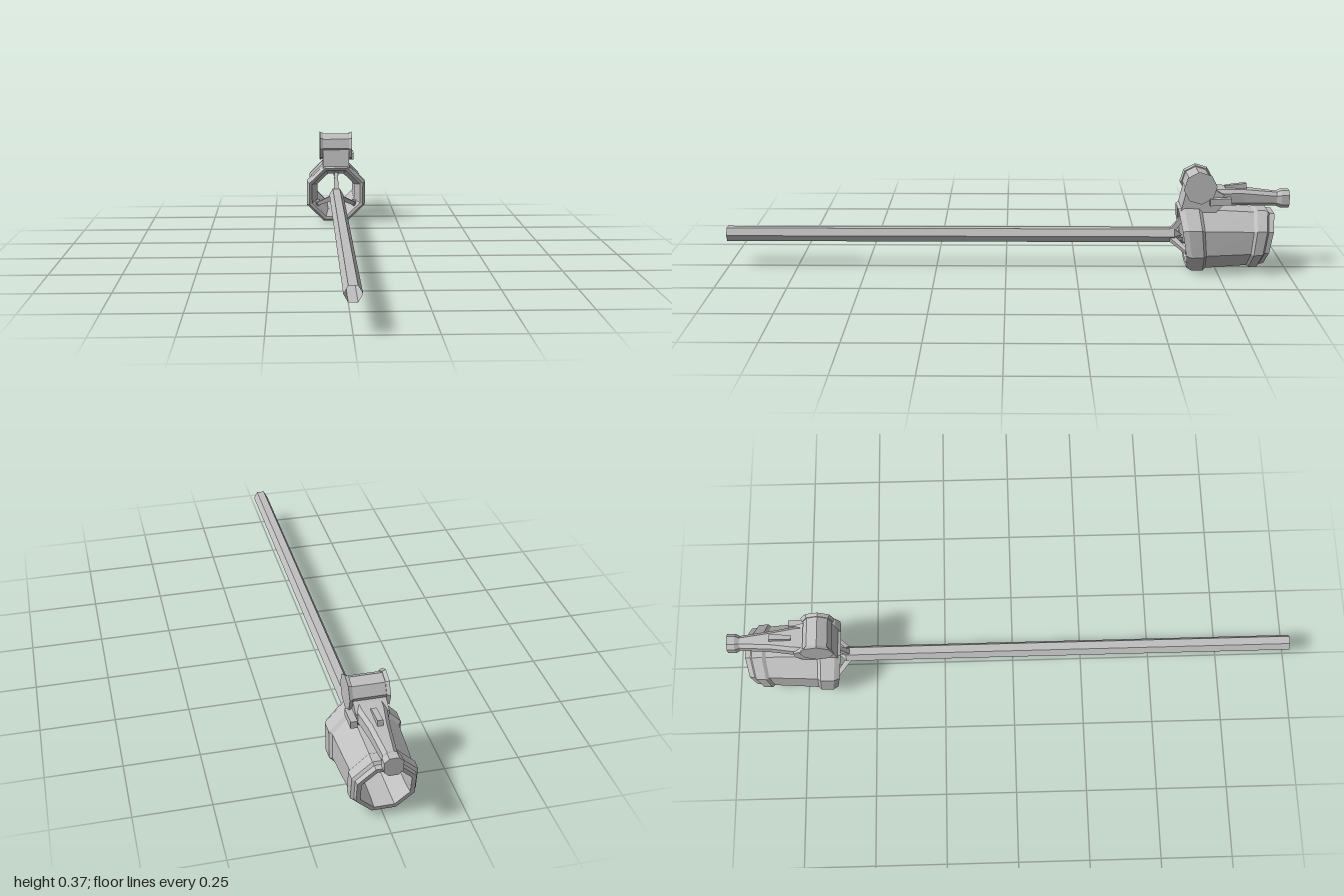
import * as THREE from 'three';

const AXIS_Y = 0.122;

// Loft through chamfered rectangular sections [z, halfWidth, yBottom, yTop, chamfer]
function loft(sections) {
  const pos = [], idx = [], n = 8;
  for (const [z, w, y0, y1, c] of sections) {
    const ring = [[w, y0 + c], [w, y1 - c], [w - c, y1], [c - w, y1], [-w, y1 - c], [-w, y0 + c], [c - w, y0], [w - c, y0]];
    for (const [x, y] of ring) pos.push(x, y, z);
  }
  for (let s = 0; s < sections.length - 1; s++) {
    for (let i = 0; i < n; i++) {
      const a = s * n + i, b = s * n + (i + 1) % n;
      idx.push(a, b, a + n, b, b + n, a + n);
    }
  }
  const last = (sections.length - 1) * n;
  for (let i = 1; i < n - 1; i++) {
    idx.push(0, i + 1, i);
    idx.push(last, last + i, last + i + 1);
  }
  // sections run from front to back, so the winding is reversed to face outward
  for (let i = 0; i < idx.length; i += 3) [idx[i + 1], idx[i + 2]] = [idx[i + 2], idx[i + 1]];
  const g = new THREE.BufferGeometry();
  g.setAttribute('position', new THREE.Float32BufferAttribute(pos, 3));
  g.setIndex(idx);
  g.computeVertexNormals();
  return g;
}

export function createModel() {
  const group = new THREE.Group();
  const grey = new THREE.MeshStandardMaterial({ color: 0xbfbfbf, flatShading: true, side: THREE.DoubleSide });
  grey.name = 'grey metal';
  const add = (name, geo, x = 0, y = 0, z = 0) => {
    const m = new THREE.Mesh(geo, grey);
    m.name = name;
    m.position.set(x, y, z);
    group.add(m);
    return m;
  };

  // Long hexagonal tube, open at the front
  const shaft = new THREE.CylinderGeometry(0.028, 0.028, 1.6, 6, 1, true, Math.PI / 2);
  shaft.rotateX(Math.PI / 2);
  add('shaft', shaft, 0, AXIS_Y + 0.002, 0.2);
  const tip = new THREE.CylinderGeometry(0.028, 0, 0.03, 6, 1, true, Math.PI / 2);
  tip.rotateX(Math.PI / 2);
  add('shaftTip', tip, 0, AXIS_Y + 0.002, -0.615);

  // Octagonal housing: closed profile of [flat radius, depth], longer at the top
  const profile = [
    [0.097, 0.63], [0.108, 0.626], [0.118, 0.645], [0.117, 0.69], [0.108, 0.7],
    [0.098, 0.865], [0.105, 0.875], [0.103, 0.908], [0.094, 0.915], [0.092, 0.932],
    [0.078, 0.932], [0.075, 0.89], [0.075, 0.69], [0.097, 0.63],
  ].map(([r, d]) => new THREE.Vector2(r / Math.cos(Math.PI / 8), d));
  const housing = new THREE.LatheGeometry(profile, 8, Math.PI / 8);
  housing.rotateX(-Math.PI / 2);
  const p = housing.attributes.position;
  for (let i = 0; i < p.count; i++) {
    p.setZ(i, -0.78 + (p.getZ(i) + 0.78) * (1 + 1.1 * p.getY(i)));
  }
  housing.computeVertexNormals();
  add('housing', housing, 0, AXIS_Y, 0);

  // Three spokes between shaft and housing
  for (let k = 0; k < 3; k++) {
    const spoke = new THREE.Group();
    spoke.name = 'spoke';
    const a = new THREE.Vector3(0, 0.015, -0.59), b = new THREE.Vector3(0, 0.088, -0.645);
    const bar = new THREE.Mesh(new THREE.CylinderGeometry(0.009, 0.014, a.distanceTo(b), 4, 1, false, Math.PI / 4), grey);
    bar.name = 'spokeBar';
    bar.position.copy(a).lerp(b, 0.5);
    bar.quaternion.setFromUnitVectors(new THREE.Vector3(0, 1, 0), b.clone().sub(a).normalize());
    const foot = new THREE.Mesh(new THREE.BoxGeometry(0.018, 0.016, 0.04), grey);
    foot.name = 'spokeFoot';
    foot.position.set(0, 0.081, -0.655);
    spoke.add(bar, foot);
    spoke.position.y = AXIS_Y;
    spoke.rotation.z = k * Math.PI * 2 / 3;
    group.add(spoke);
  }

  // Neck joining the housing and the drum
  const side = new THREE.Shape([
    [0.615, 0.222], [0.635, 0.31], [0.72, 0.31], [0.765, 0.285], [0.765, 0.25], [0.74, 0.222],
  ].map(([d, y]) => new THREE.Vector2(d, y)));
  const neck = new THREE.ExtrudeGeometry(side, { depth: 0.106, bevelEnabled: false });
  neck.translate(0, 0, -0.053);
  neck.rotateY(Math.PI / 2);
  add('neck', neck);

  // Crosswise drum with flared end caps
  const start = -6 * Math.PI / 180;
  const drum = new THREE.CylinderGeometry(0.05, 0.05, 0.11, 8, 1, false, start);
  drum.rotateZ(Math.PI / 2);
  add('drum', drum, 0, 0.312, -0.68);
  for (const s of [-1, 1]) {
    const cap = new THREE.CylinderGeometry(s > 0 ? 0.054 : 0.059, s > 0 ? 0.059 : 0.054, 0.012, 8, 1, false, start);
    cap.rotateZ(Math.PI / 2);
    add('drumCap', cap, s * 0.059, 0.312, -0.68);
  }

  // Tapered rear arm with a flared end
  add('arm', loft([
    [-0.7, 0.05, 0.24, 0.302, 0.012], [-0.765, 0.046, 0.242, 0.3, 0.012],
    [-0.84, 0.034, 0.24, 0.297, 0.012], [-0.965, 0.022, 0.235, 0.284, 0.012],
  ]));
  add('armEnd', loft([
    [-0.955, 0.022, 0.236, 0.284, 0.012], [-0.972, 0.03, 0.229, 0.292, 0.015],
    [-1, 0.03, 0.229, 0.292, 0.015],
  ]));

  // Small fittings: top rib and side handle
  const rib = add('topRib', new THREE.BoxGeometry(0.018, 0.02, 0.075), 0, 0.302, -0.812);
  rib.rotation.x = 0.12;
  const handle = add('sideHandle', new THREE.BoxGeometry(0.022, 0.024, 0.075), 0.064, 0.264, -0.752);
  handle.rotation.x = 0.05;
  add('handleMount', new THREE.BoxGeometry(0.03, 0.014, 0.035), 0.048, 0.264, -0.745);

  return group;
}
